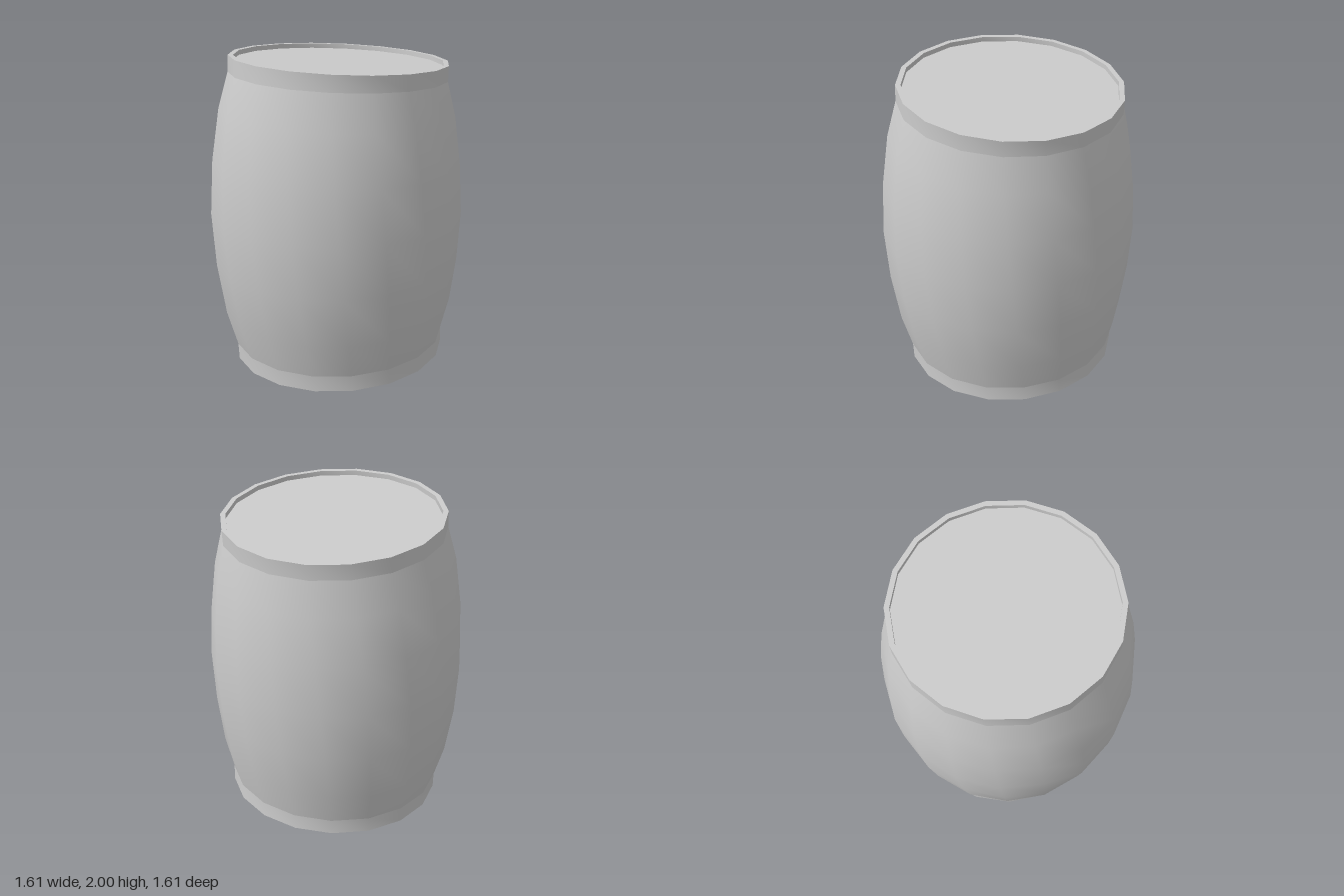
import * as THREE from 'three';
import { mergeVertices, toCreasedNormals } from 'three/addons/utils/BufferGeometryUtils.js';

const SIDES = 18;
const WALL = 0.032;
const HALF = 0.965;      // half height along the axis
const BAND = 0.865;      // where the end bands meet the staves
const RIM = 0.688;       // outer radius of the end bands
const LID = HALF - 0.03; // recessed lid height

// Twist and bend about the middle: h is the height above the belly.
function warp(geometry) {
  const p = geometry.attributes.position;
  for (let i = 0; i < p.count; i++) {
    const x = p.getX(i), h = p.getY(i), z = p.getZ(i);
    const twist = THREE.MathUtils.degToRad(-4.2 + 6 * h);
    const tilt = 0.054 * h;
    const tx = x * Math.cos(twist) - z * Math.sin(twist);
    const tz = x * Math.sin(twist) + z * Math.cos(twist);
    p.setXYZ(i, 0.027 * h * h + tx * Math.cos(tilt), 1 + h - tx * Math.sin(tilt), tz);
  }
  return geometry;
}

// Revolved part from [radius, height] pairs, warped, with sharp edges kept.
function turned(name, profile, side = THREE.FrontSide) {
  let g = new THREE.LatheGeometry(profile.map(([r, h]) => new THREE.Vector2(r, h)), SIDES);
  g.deleteAttribute('normal');
  g.deleteAttribute('uv');
  g = toCreasedNormals(warp(mergeVertices(g)), 0.6);
  const mesh = new THREE.Mesh(g, new THREE.MeshStandardMaterial({ color: 0xcccccc, side }));
  mesh.name = name;
  return mesh;
}

export function createModel() {
  const group = new THREE.Group();
  group.name = 'barrel';

  // Bulging staves, symmetrical about the belly
  const upper = [[0.745, 0.645], [0.788, 0.33]];
  const staves = [
    [RIM, -BAND],
    ...upper.map(([r, h]) => [r, -h]),
    [0.807, 0],
    ...upper.slice().reverse(),
    [RIM, BAND],
  ];
  group.add(turned('staves', staves));

  // Top band with its flat rim and inner lip down to the lid
  group.add(turned('topBand', [[RIM, BAND], [RIM, HALF], [RIM - WALL, HALF], [RIM - WALL, LID]]));

  // Bottom band with its flat rim
  group.add(turned('bottomBand', [[RIM - WALL, -HALF], [RIM, -HALF], [RIM, -BAND]]));

  // Hollow inside, open at the bottom
  const inner = [[RIM, -HALF], ...staves, [RIM, LID]].map(([r, h]) => [r - WALL, h]);
  group.add(turned('innerWall', inner.reverse()));

  // Recessed lid
  group.add(turned('lid', [[RIM - WALL, LID], [0, LID]], THREE.DoubleSide));

  return group;
}
